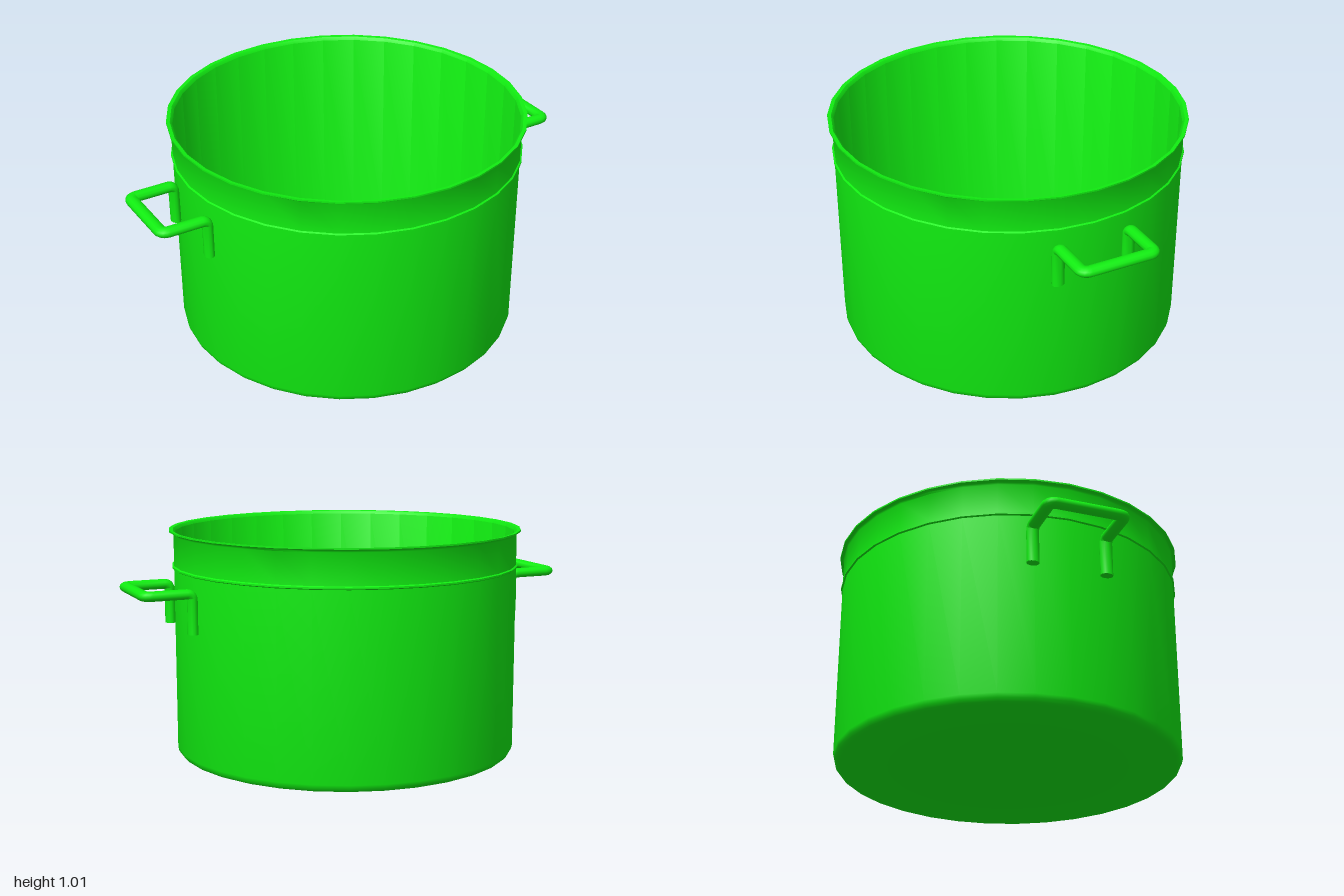
import * as THREE from 'three';
import { toCreasedNormals } from 'three/addons/utils/BufferGeometryUtils.js';

const v = (x, y, z) => new THREE.Vector3(x, y, z);
const material = new THREE.MeshStandardMaterial({ color: 0x11ee11 });

// Pot wall as one closed profile: base, outside, bead, flared rim, inside, floor
function potGeometry() {
  const profile = [
    [0, 0], [0.735, 0], [0.75, 0.006], [0.761, 0.018], [0.766, 0.036],
    [0.766, 0.84], [0.773, 0.844], [0.773, 0.851], [0.766, 0.855],
    [0.766, 0.99], [0.771, 0.998], [0.784, 1.003], [0.784, 1.01], [0.768, 1.008],
    [0.757, 0.995], [0.757, 0.05], [0.752, 0.034], [0.738, 0.022], [0, 0.02],
  ].map(([x, y]) => new THREE.Vector2(x, y));
  return toCreasedNormals(new THREE.LatheGeometry(profile, 32), 0.7);
}

// Centre line of a handle: straight runs joined by rounded corners
function handlePath() {
  const corners = [
    v(0.77, 0.605, 0.163), v(0.77, 0.777, 0.163), v(0.972, 0.777, 0.163),
    v(0.972, 0.777, -0.163), v(0.77, 0.777, -0.163), v(0.77, 0.605, -0.163),
  ];
  const radii = [0, 0.025, 0.03, 0.03, 0.025, 0];
  const points = [corners[0]];
  for (let i = 1; i < corners.length - 1; i++) {
    const c = corners[i];
    const a = c.clone().add(corners[i - 1].clone().sub(c).setLength(radii[i]));
    const b = c.clone().add(corners[i + 1].clone().sub(c).setLength(radii[i]));
    points.push(...new THREE.QuadraticBezierCurve3(a, c, b).getPoints(5));
  }
  points.push(corners[5]);
  return points;
}

// Slightly flattened oval section swept along the path, closed at both ends
function handleGeometry() {
  const path = handlePath(), n = path.length, sides = 12;
  const positions = [], index = [];
  path.forEach((p, i) => {
    const before = path[Math.max(i - 1, 0)], after = path[Math.min(i + 1, n - 1)];
    const t = after.clone().sub(p).normalize().add(p.clone().sub(before).normalize()).normalize();
    const flat = v(t.x, 0, t.z);
    if (flat.length() < 0.01) flat.set(i < n / 2 ? 1 : -1, 0, 0);
    flat.normalize();
    const wide = v(-flat.z, 0, flat.x);
    const thin = t.clone().cross(wide);
    for (let j = 0; j < sides; j++) {
      const a = (j / sides) * Math.PI * 2;
      const q = p.clone().addScaledVector(wide, 0.028 * Math.cos(a)).addScaledVector(thin, 0.022 * Math.sin(a));
      positions.push(q.x, q.y, q.z);
      if (i < n - 1) {
        const k = (j + 1) % sides, r = i * sides, s = r + sides;
        index.push(r + j, r + k, s + j, r + k, s + k, s + j);
      }
    }
  });
  const last = (n - 1) * sides;
  for (let j = 1; j < sides - 1; j++) {
    index.push(0, j + 1, j, last, last + j, last + j + 1);
  }
  const geometry = new THREE.BufferGeometry();
  geometry.setAttribute('position', new THREE.Float32BufferAttribute(positions, 3));
  geometry.setIndex(index);
  return toCreasedNormals(geometry, 0.9);
}

export function createModel() {
  const model = new THREE.Group();
  model.name = 'cookingPot';

  const pot = new THREE.Mesh(potGeometry(), material);
  pot.name = 'pot';
  model.add(pot);

  // Matching handles on both sides
  const handle = handleGeometry();
  ['leftHandle', 'rightHandle'].forEach((name, i) => {
    const mesh = new THREE.Mesh(handle, material);
    mesh.name = name;
    mesh.rotation.y = i * Math.PI;
    model.add(mesh);
  });
  return model;
}
